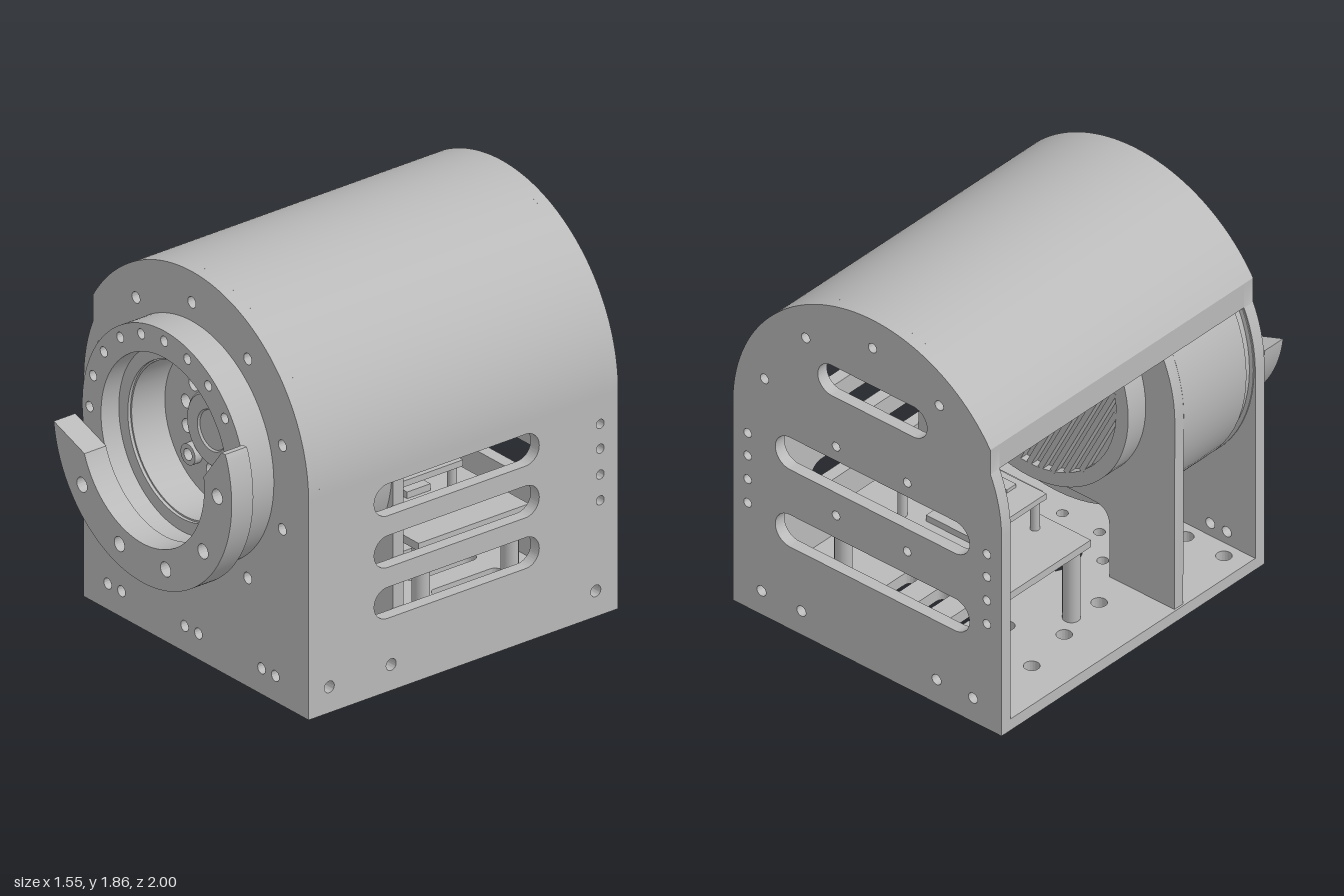
import * as THREE from 'three';
import { toCreasedNormals } from 'three/addons/utils/BufferGeometryUtils.js';

const CX = -0.03, CY = 1.055, R = 0.805, RI = 0.745; // arch centre, outer and inner radius
const CUT = -0.71;                                   // where the open side trims the arch
const A_OUT = Math.acos((CUT - CX) / R), A_IN = Math.acos((CUT - CX) / RI);
const DEG = Math.PI / 180;

export function createModel() {
  const root = new THREE.Group();
  root.name = 'motorHousing';
  const metal = new THREE.MeshStandardMaterial({ color: 0xbababa, side: THREE.DoubleSide });
  metal.name = 'grey metal';

  const add = (name, geo, x = 0, y = 0, z = 0) => {
    const m = new THREE.Mesh(geo, metal);
    m.name = name;
    m.position.set(x, y, z);
    root.add(m);
    return m;
  };
  const circle = (x, y, r) => new THREE.Path().absarc(x, y, r, 0, Math.PI * 2, false);
  const slot = (x0, x1, y, h) => new THREE.Path()
    .absarc(x1 - h, y, h, -Math.PI / 2, Math.PI / 2, false)
    .absarc(x0 + h, y, h, Math.PI / 2, Math.PI * 1.5, false);
  const ring = (n, r, a0, hole) => Array.from({ length: n }, (_, i) => {
    const a = (a0 + (i * 360) / n) * DEG;
    return circle(CX + r * Math.cos(a), CY + r * Math.sin(a), hole);
  });
  const extrude = (shape, depth, holes = [], segs = 28) => {
    shape.holes.push(...holes);
    return toCreasedNormals(new THREE.ExtrudeGeometry(shape,
      { depth, bevelEnabled: false, curveSegments: segs }), 0.5);
  };
  const disc = (r) => new THREE.Shape().absarc(CX, CY, r, 0, Math.PI * 2, false);
  const box = (name, x0, x1, y0, y1, z0, z1) => add(name,
    new THREE.BoxGeometry(x1 - x0, y1 - y0, z1 - z0), (x0 + x1) / 2, (y0 + y1) / 2, (z0 + z1) / 2);
  // Turned part around the motor axis, points are [radius, z]
  const turned = (name, pts) => {
    const g = new THREE.LatheGeometry(pts.map(([r, z]) => new THREE.Vector2(r, z)), 72);
    g.rotateX(Math.PI / 2);
    return add(name, toCreasedNormals(g, 0.5), CX, CY, 0);
  };
  const postAt = (name, x, z, y0, y1, r) => add(name,
    new THREE.CylinderGeometry(r, r, y1 - y0, 20), x, (y0 + y1) / 2, z);

  // Arched outline shared by the end plates
  const arch = () => {
    const s = new THREE.Shape();
    s.moveTo(-0.775, 0);
    s.lineTo(0.775, 0);
    s.lineTo(0.775, CY);
    s.absarc(CX, CY, R, 0, A_OUT, false);
    s.absarc(CX, CY, RI, A_IN, Math.PI, false);
    return s;
  };
  const footHoles = [-0.61, -0.515, -0.08, 0.015, 0.45, 0.545].map((x) => circle(x, 0.125, 0.026));

  // End plates
  add('frontPlate', extrude(arch(), 0.06, [circle(CX, CY, 0.434), ...ring(10, 0.655, 90, 0.027), ...footHoles], 40), 0, 0, 0.665);
  const sideHoles = [0.925, 0.805, 0.68, 0.555];
  const backHoles = [
    slot(-0.345, 0.285, 1.43, 0.08), slot(-0.59, 0.53, 0.93, 0.085), slot(-0.59, 0.53, 0.52, 0.085),
    ...ring(10, 0.655, 90, 0.024).slice(0, 2), ...ring(10, 0.655, 90, 0.024).slice(8),
    ...sideHoles.flatMap((y) => [circle(-0.69, y, 0.022), circle(0.69, y, 0.022)]),
    ...[1.09, 0.725].flatMap((y) => [circle(-0.23, y, 0.022), circle(0.18, y, 0.022)]),
    ...[-0.61, -0.4, 0.38, 0.61].map((x) => circle(x, 0.125, 0.026)),
  ];
  add('backPlate', extrude(arch(), 0.06, backHoles, 40), 0, 0, -1);

  // Curved cover
  const cover = new THREE.Shape();
  cover.absarc(CX, CY, R, 0, A_OUT, false);
  cover.absarc(CX, CY, RI, A_IN, 0, true);
  add('cover', extrude(cover, 1.605, [], 64), 0, 0, -0.94);

  // Slotted side wall, drawn with u = -z
  const wall = new THREE.Shape();
  wall.moveTo(-0.665, 0);
  wall.lineTo(0.94, 0);
  wall.lineTo(0.94, CY);
  wall.lineTo(-0.665, CY);
  const wallHoles = [
    ...[[0.928, 0.077], [0.678, 0.077], [0.43, 0.075]].map(([y, h]) => slot(-0.36, 0.56, y, h)),
    ...sideHoles.map((y) => circle(0.9, y, 0.022)),
    ...[-0.61, -0.265, 0.875].map((u) => circle(u, 0.125, 0.028)),
  ];
  const wallGeo = extrude(wall, 0.06, wallHoles);
  wallGeo.rotateY(Math.PI / 2);
  add('sideWall', wallGeo, 0.715, 0, 0);

  // Floor, drawn with v = -z
  const floor = new THREE.Shape();
  floor.moveTo(-0.775, -0.665);
  floor.lineTo(0.715, -0.665);
  floor.lineTo(0.715, 0.94);
  floor.lineTo(-0.775, 0.94);
  const screws = [[0.61, 0.25], [0.46, -0.7], [0.48, -0.22], [0.61, 0.59], [0.36, 0.6], [0.08, 0.6],
    [-0.16, 0.6], [-0.44, 0.59], [-0.66, 0.59], [-0.44, 0.26], [-0.485, -0.03], [-0.53, -0.31],
    [-0.58, -0.58], [0.5, -0.88], [-0.55, -0.88]];
  const floorHoles = [
    circle(CX, -0.11, 0.18),
    ...Array.from({ length: 8 }, (_, i) => (i + 0.5) * 45 * DEG)
      .map((a) => circle(CX + 0.28 * Math.cos(a), -0.11 + 0.28 * Math.sin(a), 0.026)),
    ...screws.map(([x, z]) => circle(x, -z, 0.036)),
  ];
  for (const x of [0.255, 0.07, -0.115, -0.3]) {
    floorHoles.push(new THREE.Path()
      .absarc(x, 0.735, 0.036, 0, Math.PI, false)
      .absarc(x, 0.425, 0.036, Math.PI, Math.PI * 2, false));
  }
  const floorGeo = extrude(floor, 0.06, floorHoles);
  floorGeo.rotateX(-Math.PI / 2);
  add('floor', floorGeo);

  // Bulkhead with an open arch at its foot
  const bulk = new THREE.Shape();
  bulk.moveTo(-0.765, 0.06);
  bulk.lineTo(-0.39, 0.06);
  bulk.lineTo(-0.39, 0.33);
  bulk.quadraticCurveTo(-0.39, 0.42, -0.3, 0.42);
  bulk.lineTo(0.24, 0.42);
  bulk.quadraticCurveTo(0.33, 0.42, 0.33, 0.33);
  bulk.lineTo(0.33, 0.06);
  bulk.lineTo(0.712, 0.06);
  bulk.lineTo(0.712, CY);
  bulk.absarc(CX, CY, 0.738, 0, Math.PI, false);
  add('bulkhead', extrude(bulk, 0.058, [circle(CX, CY, 0.55)]), 0, 0, 0.145);

  // Motor drum with a groove near the front, and its smaller rear body
  turned('motorDrum', [[0.44, 0.204], [0.738, 0.204], [0.738, 0.615], [0.72, 0.62], [0.72, 0.655], [0.738, 0.66], [0.738, 0.665]]);
  turned('motorRear', [[0, 0.07], [0.5, 0.07], [0.5, 0.03], [0.57, 0.03], [0.57, 0.21], [0, 0.21]]);

  // Slanted cooling fins on the rear body
  const fins = new THREE.Group();
  fins.name = 'coolingFins';
  for (let i = -8; i <= 8; i++) {
    const off = i * 0.056;
    const len = 2 * Math.sqrt(0.5 * 0.5 - off * off);
    const fin = new THREE.Mesh(new THREE.BoxGeometry(0.026, len, 0.045), metal);
    fin.name = 'fin';
    fin.position.set(off, 0, 0.052);
    fins.add(fin);
  }
  fins.position.set(CX, CY, 0);
  fins.rotation.z = 27 * DEG;
  root.add(fins);

  // Front flange and its stepped bore
  add('flange', extrude(disc(0.565), 0.155, [circle(CX, CY, 0.435), ...ring(20, 0.515, 90, 0.024)], 64), 0, 0, 0.724);
  turned('flangeBore', [[0.365, 0.58], [0.365, 0.765], [0.373, 0.765], [0.373, 0.78], [0.435, 0.78], [0.435, 0.876]]);
  const boltHoles = ring(12, 0.225, 18, 0.032).filter((_, i) => i % 4 !== 3);
  add('outputDisc', extrude(disc(0.366), 0.05, boltHoles, 48), 0, 0, 0.53);
  add('outputDiscBacking', extrude(disc(0.366), 0.02, [], 48), 0, 0, 0.51);
  turned('hub', [[0.178, 0.58], [0.178, 0.605], [0.168, 0.615], [0.098, 0.615], [0.092, 0.605], [0, 0.605]]);
  for (const a of [108, -12, -132]) {
    const x = CX + 0.235 * Math.cos(a * DEG), y = CY + 0.235 * Math.sin(a * DEG);
    const bolt = new THREE.Shape().absarc(x, y, 0.05, 0, Math.PI * 2, false);
    add('outputBolt', extrude(bolt, 0.04, [circle(x, y, 0.028)]), 0, 0, 0.58);
  }

  // Crescent stop bolted over the lower flange
  const stop = new THREE.Shape();
  const a0 = 200 * DEG, a1 = 368 * DEG;
  stop.absarc(CX, CY, 0.425, a1, a0, true);
  stop.absarc(CX, CY, 0.615, 186.5 * DEG, 380 * DEG, false);
  stop.lineTo(0.54, 1.28);
  stop.lineTo(0.515, 1.28);
  const stopHoles = ring(10, 0.515, 0, 0.035).filter((_, i) => i === 0 || i > 5);
  add('crescentStop', extrude(stop, 0.12, stopHoles, 64), 0, 0, 0.88);

  // Circuit board on posts
  box('board', -0.53, 0.47, 0.43, 0.468, -0.75, -0.135);
  for (const x of [-0.47, 0.41]) for (const z of [-0.195, -0.69]) postAt('boardPost', x, z, 0.06, 0.43, 0.04);

  // Electronics stacked on the board
  box('upperBoard', -0.33, 0.25, 0.625, 0.655, -0.56, -0.2);
  for (const x of [-0.29, 0.21]) for (const z of [-0.23, -0.53]) postAt('upperPost', x, z, 0.468, 0.625, 0.022);
  box('connector', -0.3, 0.15, 0.6, 0.65, -0.31, -0.19);
  box('plug', -0.2, 0, 0.65, 0.672, -0.31, -0.25);
  for (let i = 0; i < 8; i++) box('heatSinkFin', -0.22 + i * 0.05, -0.2 + i * 0.05, 0.655, 0.665, -0.53, -0.34);
  box('chip', -0.15, 0.1, 0.468, 0.5, -0.5, -0.37);

  return root;
}
